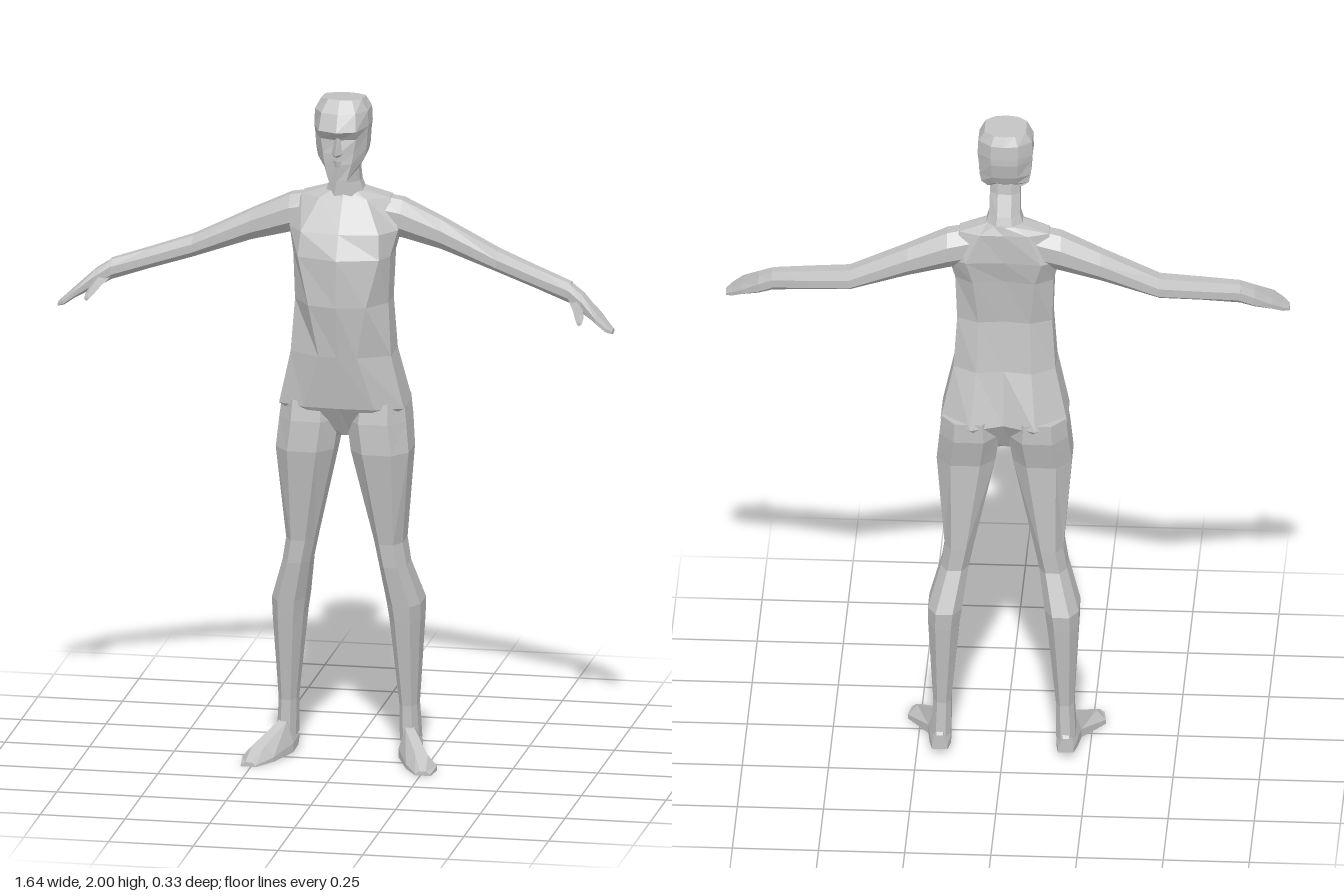
import * as THREE from 'three';

// Skin closed rings of [x, y, z] points, cap both ends and face outwards
function loft(rings) {
  const n = rings[0].length;
  const tris = [];
  for (let i = 0; i < rings.length - 1; i++) {
    for (let j = 0; j < n; j++) {
      const k = (j + 1) % n;
      const a = rings[i][j], b = rings[i][k], c = rings[i + 1][k], d = rings[i + 1][j];
      tris.push([a, b, c], [a, c, d]);
    }
  }
  const centre = r => [0, 1, 2].map(c => r.reduce((s, p) => s + p[c], 0) / n);
  const first = rings[0], last = rings[rings.length - 1];
  const c0 = centre(first), c1 = centre(last);
  for (let j = 0; j < n; j++) {
    const k = (j + 1) % n;
    tris.push([c0, first[k], first[j]], [c1, last[j], last[k]]);
  }
  // Signed volume tells whether the winding points inwards
  let volume = 0;
  for (const [a, b, c] of tris) {
    volume += new THREE.Vector3(...a).dot(new THREE.Vector3(...b).cross(new THREE.Vector3(...c)));
  }
  if (volume < 0) tris.forEach(t => t.reverse());
  const geometry = new THREE.BufferGeometry();
  geometry.setAttribute('position', new THREE.Float32BufferAttribute(tris.flat(2), 3));
  geometry.computeVertexNormals();
  return geometry;
}

// Eight-sided outline inside a rectangle, as [u, v] pairs
function octagon(u0, u1, v0, v1, flat = 0.45) {
  const cu = (u0 + u1) / 2, cv = (v0 + v1) / 2, hu = (u1 - u0) / 2, hv = (v1 - v0) / 2;
  return [[1, flat], [flat, 1], [-flat, 1], [-1, flat], [-1, -flat], [-flat, -1], [flat, -1], [1, -flat]]
    .map(([u, v]) => [cu + u * hu, cv + v * hv]);
}

// Complete a symmetric ring from its +x half (front centre to back centre)
function mirrorRing(half) {
  const inner = half.slice(1, -1).reverse().map(([x, y, z]) => [-x, y, z]);
  return [...half, ...inner];
}

export function createModel() {
  const model = new THREE.Group();
  const grey = new THREE.MeshStandardMaterial({ color: 0xc2c2c2 });

  function add(name, rings, parent = model) {
    const mesh = new THREE.Mesh(loft(rings), grey);
    mesh.name = name;
    parent.add(mesh);
  }

  // Torso: y, half width, side front z, side back z, front z, panel x, panel z, back x, back z, spine z
  add('torso', [
    [1.715, 0.05, -0.03, -0.07, 0.0, 0.03, -0.008, 0.03, -0.092, -0.097],
    [1.69, 0.13, -0.03, -0.08, 0.02, 0.07, 0.01, 0.07, -0.103, -0.103],
    [1.60, 0.16, 0.0, -0.08, 0.083, 0.115, 0.065, 0.11, -0.11, -0.1],
    [1.53, 0.143, 0.03, -0.06, 0.12, 0.12, 0.085, 0.09, -0.097, -0.082],
    [1.39, 0.138, 0.03, -0.05, 0.123, 0.085, 0.105, 0.075, -0.078, -0.068],
    [1.235, 0.148, 0.045, -0.06, 0.1, 0.056, 0.096, 0.08, -0.1, -0.088],
    [1.075, 0.184, 0.035, -0.09, 0.075, 0.105, 0.07, 0.095, -0.16, -0.125],
    [0.98, 0.04, 0.0, -0.06, 0.015, 0.025, 0.01, 0.025, -0.075, -0.07],
  ].map(([y, w, sf, sb, zf, px, pz, bx, bz, zb]) => mirrorRing([
    [0, y, zf], [px, y, pz], [w, y, sf], [w, y, sb], [bx, y, bz], [0, y, zb],
  ])));

  // Neck
  add('neck', [
    [1.69, 0.06, -0.1, 0.01], [1.74, 0.045, -0.08, 0.01],
    [1.80, 0.044, -0.052, 0.02], [1.85, 0.044, -0.045, 0.02],
  ].map(([y, w, zb, zf]) => octagon(-w, w, zb, zf).map(([x, z]) => [x, y, z])));

  // Head: front y, back y, half width, front z, back z, face x, face z
  add('head', [
    [1.765, 1.82, 0.05, 0.1, -0.035, 0.027, 0.095],
    [1.815, 1.835, 0.069, 0.106, -0.052, 0.04, 0.09],
    [1.845, 1.86, 0.074, 0.105, -0.065, 0.045, 0.085],
    [1.888, 1.905, 0.077, 0.095, -0.075, 0.052, 0.082],
    [1.915, 1.925, 0.08, 0.118, -0.075, 0.055, 0.1],
    [1.965, 1.965, 0.078, 0.094, -0.072, 0.05, 0.083],
    [2.0, 1.992, 0.06, 0.062, -0.058, 0.035, 0.055],
  ].map(([yf, yb, w, zf, zb, fx, fz]) => {
    const at = z => yb + (yf - yb) * (z - zb) / (zf - zb);
    return mirrorRing([[0, zf], [fx, fz], [w, 0.035], [w, -0.03], [w * 0.5, zb + 0.006], [0, zb]]
      .map(([x, z]) => [x, at(z), z]));
  }));

  // Nose wedge and lips
  add('nose', [
    [[-0.008, 1.898, 0.09], [0.008, 1.898, 0.09], [0, 1.898, 0.104]],
    [[-0.018, 1.848, 0.095], [0.018, 1.848, 0.095], [0, 1.85, 0.132]],
    [[-0.012, 1.84, 0.095], [0.012, 1.84, 0.095], [0, 1.84, 0.112]],
  ]);
  add('lips', [
    [[-0.022, 1.826, 0.09], [0.022, 1.826, 0.09], [0, 1.83, 0.114]],
    [[-0.018, 1.808, 0.09], [0.018, 1.808, 0.09], [0, 1.812, 0.112]],
  ]);

  // Paired limbs, mirrored across x
  for (const side of [1, -1]) {
    const label = side > 0 ? 'left' : 'right';

    // Arm and hand: x, bottom y, top y, back z, front z
    add(label + 'Arm', [
      [0.09, 1.58, 1.695, -0.098, -0.005],
      [0.165, 1.57, 1.682, -0.11, -0.005],
      [0.28, 1.54, 1.628, -0.105, -0.012],
      [0.45, 1.482, 1.544, -0.096, 0.0],
      [0.57, 1.453, 1.511, -0.045, 0.043],
      [0.68, 1.423, 1.482, 0.005, 0.075],
    ].map(([x, y0, y1, z0, z1]) => octagon(y0, y1, z0, z1, 0.4).map(([y, z]) => [side * x, y, z])));
    add(label + 'Hand', [
      [0.675, 1.425, 1.482, 0.005, 0.075],
      [0.72, 1.402, 1.455, 0.022, 0.1],
      [0.77, 1.382, 1.412, 0.053, 0.143],
      [0.80, 1.362, 1.385, 0.082, 0.147],
      [0.818, 1.357, 1.37, 0.1, 0.135],
    ].map(([x, y0, y1, z0, z1]) => octagon(y0, y1, z0, z1).map(([y, z]) => [side * x, y, z])));

    // Thumb: z, x, y, half size
    add(label + 'Thumb', [
      [0.065, 0.695, 1.435, 0.02], [0.11, 0.713, 1.415, 0.015],
      [0.14, 0.722, 1.403, 0.013], [0.167, 0.727, 1.393, 0.007],
    ].map(([z, x, y, r]) => [[r, 0], [0, r], [-r, 0], [0, -r]].map(([u, v]) => [side * (x + u), y + v, z])));

    // Leg: y, inner x, outer x, back z, front z
    add(label + 'Leg', [
      [1.09, 0.02, 0.18, -0.15, 0.06],
      [1.03, 0.012, 0.187, -0.15, 0.07],
      [0.94, 0.025, 0.196, -0.125, 0.074],
      [0.66, 0.088, 0.172, -0.123, 0.027],
      [0.59, 0.102, 0.183, -0.12, 0.024],
      [0.47, 0.12, 0.219, -0.168, 0.007],
      [0.42, 0.127, 0.218, -0.164, 0.0],
      [0.16, 0.152, 0.204, -0.132, -0.04],
      [0.05, 0.153, 0.21, -0.14, -0.04],
    ].map(([y, x0, x1, z0, z1]) => octagon(x0, x1, z0, z1, 0.5).map(([x, z]) => [side * x, y, z])));

    // Foot: z, inner x, outer x, sole y, top y
    add(label + 'Foot', [
      [-0.148, 0.16, 0.205, 0.016, 0.06],
      [-0.1, 0.153, 0.215, 0.012, 0.1],
      [-0.035, 0.155, 0.222, 0.006, 0.095],
      [0.06, 0.195, 0.287, 0, 0.045],
      [0.125, 0.235, 0.28, 0, 0.013],
    ].map(([z, x0, x1, y0, y1]) => {
      const w = x1 - x0;
      return [[x0, y0], [x1, y0], [x1, y0 + (y1 - y0) * 0.3], [x1 - w * 0.3, y1], [x0 + w * 0.3, y1],
        [x0, y0 + (y1 - y0) * 0.3]].map(([x, y]) => [side * x, y, z]);
    }));
  }
  return model;
}
